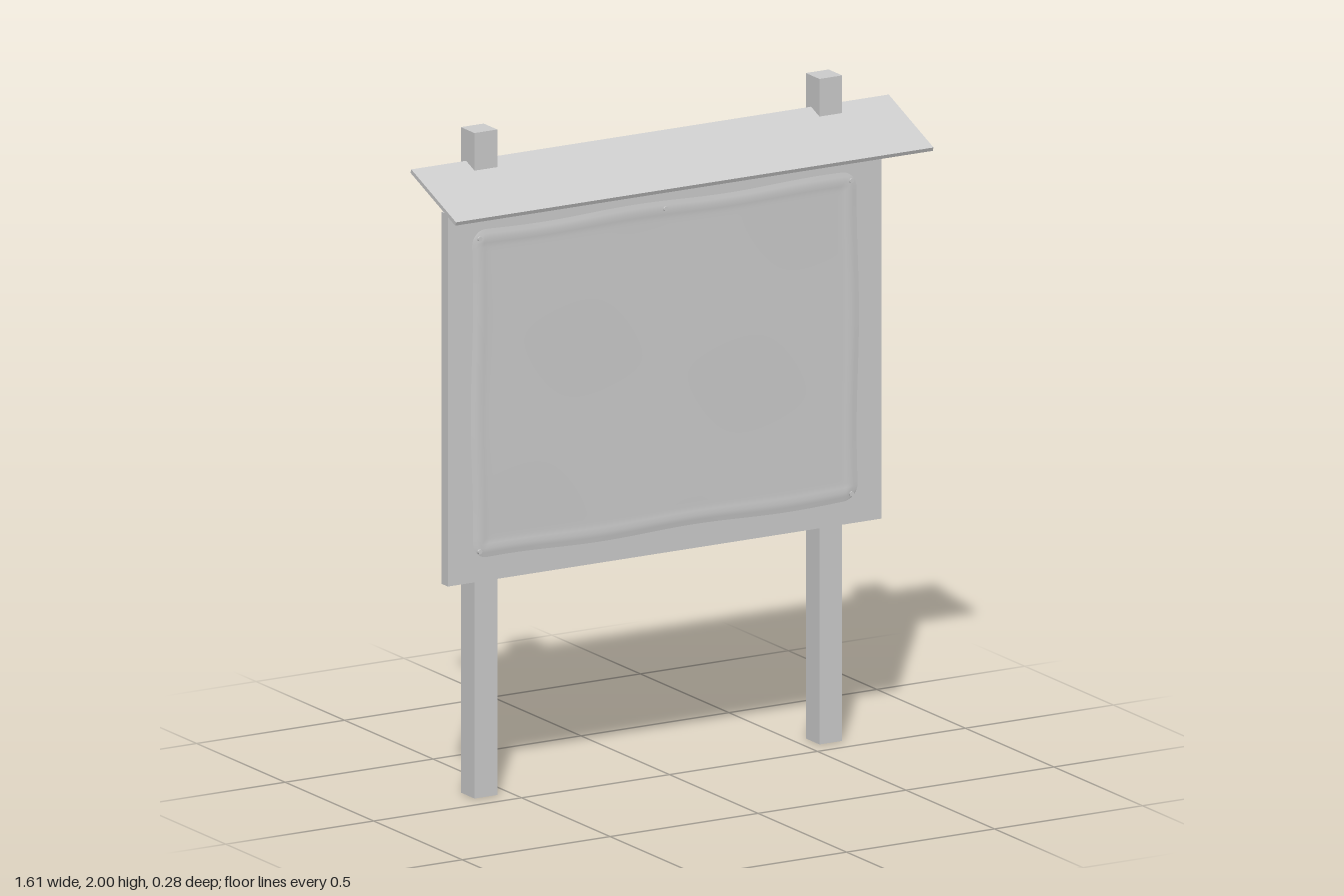
import * as THREE from 'three';

export function createModel() {
  const model = new THREE.Group();
  model.name = 'noticeBoard';
  const grey = new THREE.MeshStandardMaterial({ color: 0xcccccc });
  grey.name = 'plain grey';
  const greySheet = grey.clone();
  greySheet.name = 'plain grey sheet';
  greySheet.side = THREE.DoubleSide;

  function add(name, geometry, x, y, z, material = grey) {
    const mesh = new THREE.Mesh(geometry, material);
    mesh.name = name;
    mesh.position.set(x, y, z);
    model.add(mesh);
    return mesh;
  }

  // Two square posts
  for (const side of [-1, 1]) {
    add(side < 0 ? 'rightPost' : 'leftPost',
      new THREE.BoxGeometry(0.077, 2, 0.077), side * 0.583, 1, -0.1015);
  }

  // Backing board fixed to the front of the posts
  add('board', new THREE.BoxGeometry(1.466, 1.118, 0.035), 0, 1.22, -0.0445);

  // Sloping roof plank, low edge at the front
  const roof = add('roof', new THREE.BoxGeometry(1.614, 0.012, 0.272), 0, 1.85, 0.014);
  roof.rotation.x = Math.atan2(0.1, 0.252);

  // Paper sheet: rounded corners, wavy outline, raised rim and faint creases
  const halfW = 0.652, halfH = 0.494, radius = 0.05;
  const sheet = new THREE.PlaneGeometry(halfW * 2, halfH * 2, 96, 72);
  const pos = sheet.attributes.position;
  for (let i = 0; i < pos.count; i++) {
    const px = pos.getX(i), py = pos.getY(i);
    const edge = Math.min(halfW - Math.abs(px), halfH - Math.abs(py));
    const u = Math.max(Math.abs(px) - halfW + radius, 0) / radius;
    const v = Math.max(Math.abs(py) - halfH + radius, 0) / radius;
    // Square corner zones are folded into quarter discs
    let x = px - Math.sign(px) * radius * u * (1 - Math.sqrt(1 - v * v / 2));
    let y = py - Math.sign(py) * radius * v * (1 - Math.sqrt(1 - u * u / 2));
    const nearX = Math.pow(Math.abs(px) / halfW, 4);
    const nearY = Math.pow(Math.abs(py) / halfH, 4);
    x += 0.004 * nearX * Math.sin(py * 9 + Math.sign(px));
    y += 0.004 * nearY * Math.cos(px * 10 + Math.sign(py));
    const rim = 0.0025 * Math.exp(-Math.pow((edge - 0.026) / 0.012, 2));
    const crease = 0.0005 * Math.sin(px * 7 + py * 4) * Math.cos(py * 8 - px * 3);
    const lift = 0.0016 * THREE.MathUtils.smoothstep(edge, 0, 0.02);
    pos.setXYZ(i, x, y, lift + rim + crease * Math.min(1, edge / 0.05));
  }
  sheet.computeVertexNormals();
  add('paperSheet', sheet, 0, 1.223, -0.0262, greySheet);

  // Pins at the corners and the middle of the top edge
  const pinGeometry = new THREE.CylinderGeometry(0.007, 0.007, 0.009, 12).rotateX(Math.PI / 2);
  for (const [x, y] of [[-0.628, 1.692], [0, 1.695], [0.628, 1.692], [-0.628, 0.752], [0.628, 0.752]]) {
    add('pin', pinGeometry, x, y, -0.0235);
  }

  return model;
}
